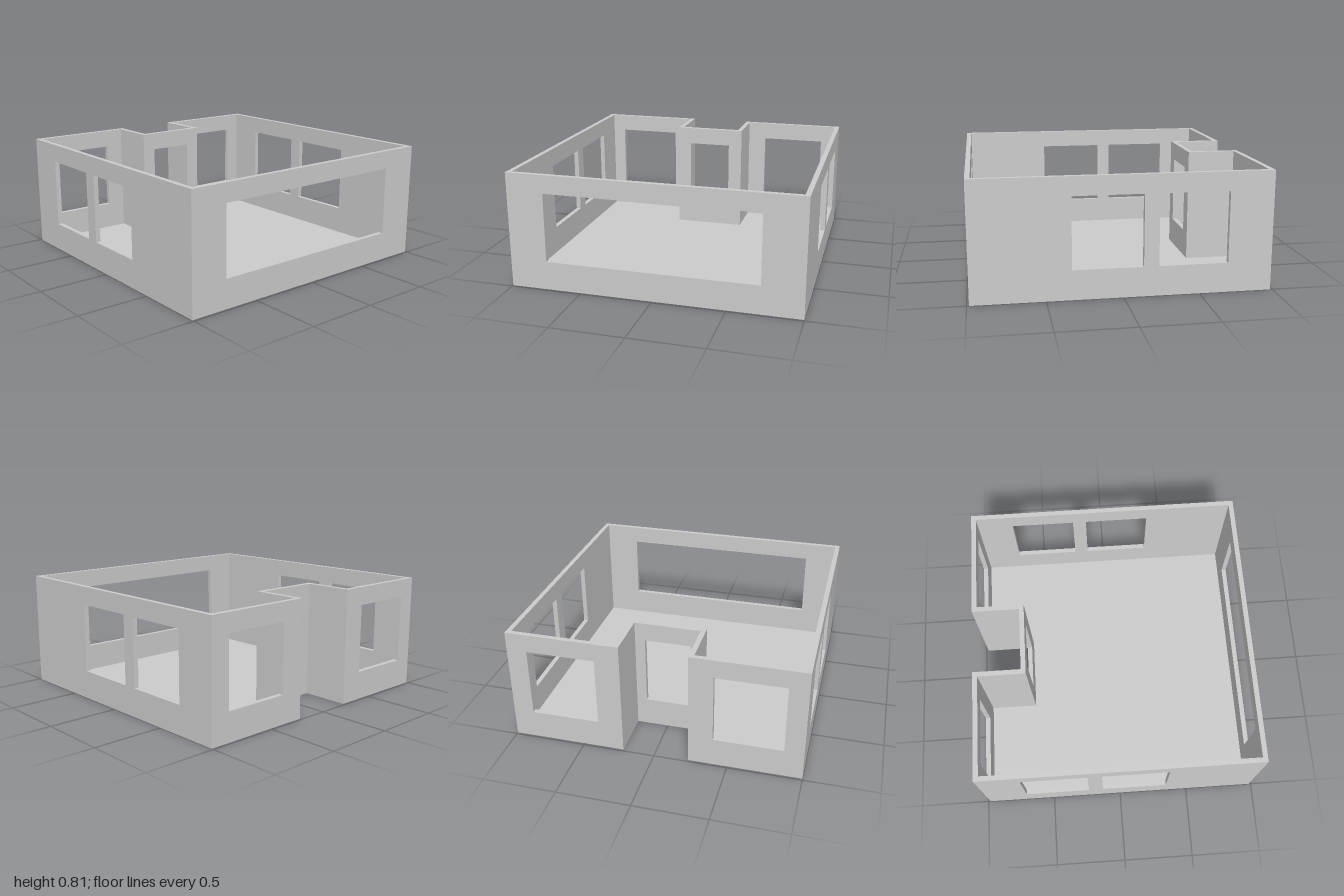
import * as THREE from 'three';

const W = 0.985, H = 0.807, T = 0.034;   // half width, wall height, wall thickness
const SILL = 0.2, HEAD = 0.68;           // window bottom and top

// Outer corners [x, z] in plan; each wall runs from its corner to the next.
// Windows are ranges along the wall's own axis (x or z).
const walls = [
  { name: 'frontWall', from: [-W, 1], windows: [[-0.69, -0.23], [-0.13, 0.335]] },
  { name: 'leftWall', from: [W, 1], windows: [[-0.72, 0.74]] },
  { name: 'backWall', from: [W, -1], windows: [[-0.69, -0.23], [-0.13, 0.335]] },
  { name: 'rightWallRear', from: [-W, -1], windows: [[-0.86, -0.39]] },
  { name: 'recessSideRear', from: [-W, -0.22], windows: [] },
  { name: 'recessBack', from: [-0.648, -0.22], windows: [[-0.15, 0.17]] },
  { name: 'recessSideFront', from: [-0.648, 0.235], windows: [] },
  { name: 'rightWallFront', from: [-W, 0.235], windows: [[0.4, 0.87]] },
];

function rectangle(target, x0, y0, x1, y1) {
  target.moveTo(x0, y0).lineTo(x1, y0).lineTo(x1, y1).lineTo(x0, y1).closePath();
  return target;
}

// Wall panel with window holes, its inner face mitred at both ends
function wallGeometry(length, openings, startTurn, endTurn) {
  const shape = rectangle(new THREE.Shape(), 0, 0, length, H);
  for (const [a, b] of openings) shape.holes.push(rectangle(new THREE.Path(), a, SILL, b, HEAD));
  const geo = new THREE.ExtrudeGeometry(shape, { depth: T, bevelEnabled: false });
  geo.translate(0, 0, -T);
  const pos = geo.attributes.position;
  for (let i = 0; i < pos.count; i++) {
    if (pos.getZ(i) > -T / 2) continue;
    const x = pos.getX(i);
    if (x < 1e-5) pos.setX(i, startTurn * T);
    else if (x > length - 1e-5) pos.setX(i, length - endTurn * T);
  }
  geo.computeVertexNormals();
  return geo;
}

export function createModel() {
  const group = new THREE.Group();
  group.name = 'room';
  const material = new THREE.MeshStandardMaterial({ color: 0xcccccc });
  const add = (name, geo) => {
    const mesh = new THREE.Mesh(geo, material);
    mesh.name = name;
    group.add(mesh);
    return mesh;
  };

  const n = walls.length;
  const corners = walls.map((w) => new THREE.Vector2(...w.from));
  const dirs = corners.map((c, i) => corners[(i + 1) % n].clone().sub(c).normalize());
  // +1 at outward corners, -1 at the two inward corners of the recess
  const turns = dirs.map((d, i) => -Math.sign(dirs[(i + n - 1) % n].cross(d)));

  // Walls
  walls.forEach((wall, i) => {
    const start = corners[i], dir = dirs[i], next = (i + 1) % n;
    const axis = Math.abs(dir.x) > 0.5 ? 'x' : 'y';
    const openings = wall.windows.map((r) =>
      r.map((v) => Math.abs(v - start[axis])).sort((a, b) => a - b));
    const length = start.distanceTo(corners[next]);
    const mesh = add(wall.name, wallGeometry(length, openings, turns[i], turns[next]));
    mesh.position.set(start.x, 0, start.y);
    mesh.rotation.y = Math.atan2(-dir.y, dir.x);
  });

  // Thin floor filling the inner outline
  const inner = corners.map((c, i) => {
    const a = dirs[(i + n - 1) % n], b = dirs[i];
    return new THREE.Vector2(c.x + T * (a.y + b.y), -(c.y - T * (a.x + b.x)));
  });
  const floor = new THREE.ExtrudeGeometry(new THREE.Shape(inner), { depth: 0.004, bevelEnabled: false });
  floor.rotateX(-Math.PI / 2);
  add('floor', floor);

  return group;
}
